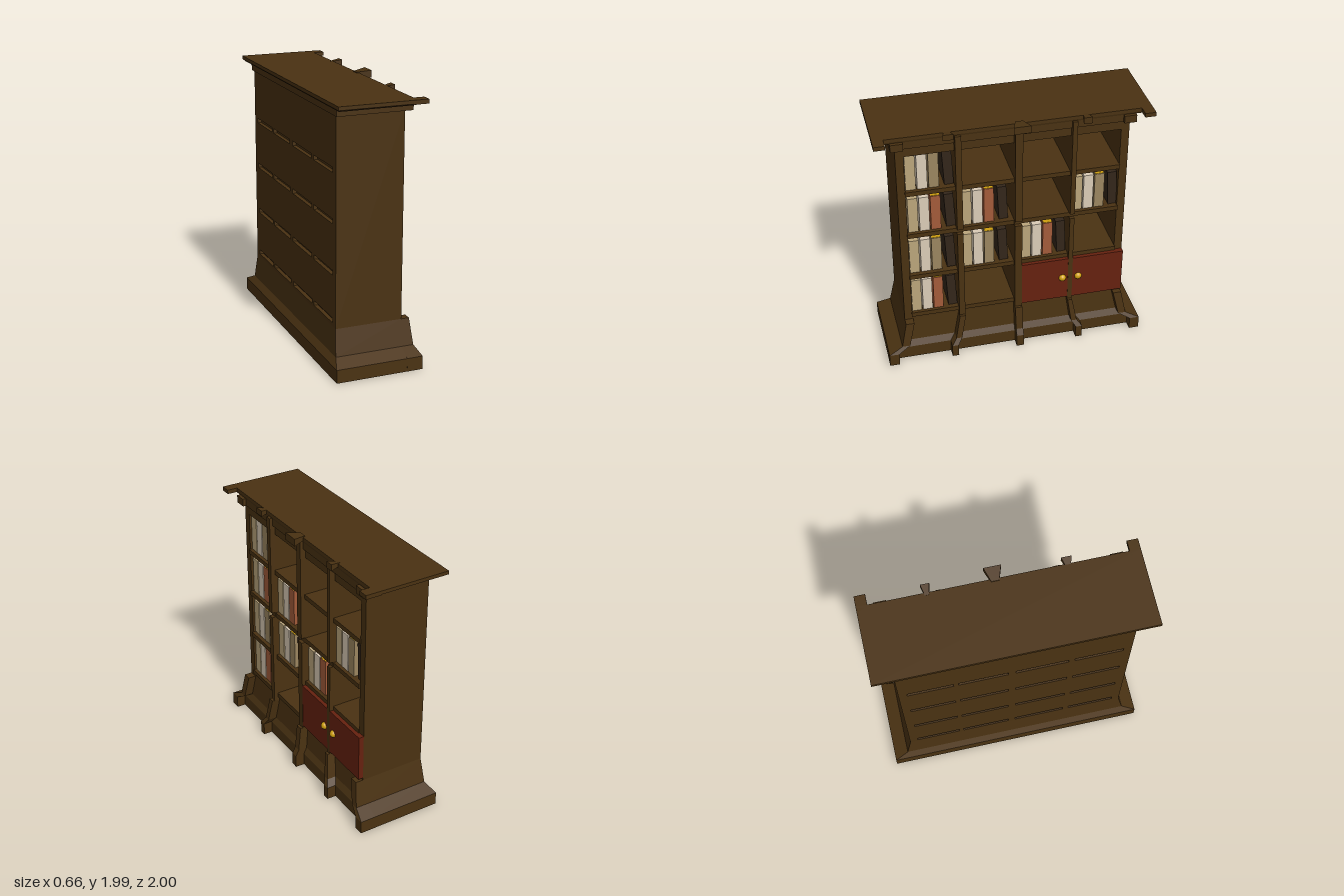
import * as THREE from 'three';

const mat = (color) => new THREE.MeshStandardMaterial({ color, flatShading: true });
const WOOD = mat(0x4a3212), DOOR = mat(0x66210f), GOLD = mat(0xd0a010);
const TAN = mat(0xbca67c), CREAM = mat(0xdccdb8), RUST = mat(0xa45c3a), BROWN = mat(0x9c8660), DARK = mat(0x33261a);

export function createModel() {
  const root = new THREE.Group();

  const add = (name, geo, material, parent = root) => {
    const m = new THREE.Mesh(geo, material);
    m.name = name;
    parent.add(m);
    return m;
  };
  // Box given by its limits on each axis
  const box = (name, material, x0, x1, y0, y1, z0, z1, parent) => {
    const m = add(name, new THREE.BoxGeometry(x1 - x0, y1 - y0, z1 - z0), material, parent);
    m.position.set((x0 + x1) / 2, (y0 + y1) / 2, (z0 + z1) / 2);
    return m;
  };
  // Solid through rectangular sections [y, x0, x1, z0, z1], bottom to top
  const loft = (name, sections) => {
    const pos = [], idx = [];
    sections.forEach(([y, x0, x1, z0, z1], i) => {
      pos.push(x0, y, z0, x0, y, z1, x1, y, z1, x1, y, z0);
      if (i === 0) return;
      for (let j = 0; j < 4; j++) {
        const a = (i - 1) * 4 + j, b = (i - 1) * 4 + (j + 1) % 4;
        idx.push(a, b, b + 4, a, b + 4, a + 4);
      }
    });
    const t = (sections.length - 1) * 4;
    idx.push(0, 2, 1, 0, 3, 2, t, t + 1, t + 2, t, t + 2, t + 3);
    const g = new THREE.BufferGeometry();
    g.setAttribute('position', new THREE.Float32BufferAttribute(pos, 3));
    g.setIndex(idx);
    const flat = g.toNonIndexed();
    flat.computeVertexNormals();
    return add(name, flat, WOOD);
  };

  // Flared plinth
  loft('plinth', [
    [0, -0.34, 0.25, -0.99, 0.99], [0.1, -0.34, 0.25, -0.99, 0.99],
    [0.15, -0.305, 0.225, -0.885, 0.885], [0.345, -0.29, 0.21, -0.845, 0.845],
  ]);
  box('plinthRail', WOOD, -0.26, 0.21, 0.34, 0.40, -0.79, 0.79);

  // Feet: centre z and width at the ground, at the ankle and at the top
  const foot = (g, gw, a, aw, t, tw) => loft('foot', [
    [0, 0.2, 0.32, g - gw / 2, g + gw / 2], [0.1, 0.2, 0.32, g - gw / 2, g + gw / 2],
    [0.15, 0.2, 0.295, a - aw / 2, a + aw / 2], [0.345, 0.18, 0.275, t - tw / 2, t + tw / 2],
  ]);
  for (const s of [1, -1]) foot(s * 0.953, 0.075, s * 0.855, 0.06, s * 0.813, 0.064);
  foot(0.48, 0.05, 0.445, 0.045, 0.408, 0.045);
  foot(-0.03, 0.055, -0.03, 0.055, -0.028, 0.055);
  foot(-0.5, 0.05, -0.465, 0.045, -0.432, 0.035);

  // Side walls
  for (const s of [1, -1]) {
    const [z0, z1] = s > 0 ? [0.785, 0.845] : [-0.845, -0.785];
    box('sideWall', WOOD, -0.29, 0.215, 0.34, 1.88, z0, z1);
  }

  // Bays [z0, z1] and shelf undersides
  const bays = [[0.43, 0.785], [0, 0.385], [-0.415, -0.055], [-0.785, -0.45]];
  const shelfY = [0.37, 0.725, 1.1, 1.465];

  // Back panel with a slot behind each shelf
  const back = new THREE.Shape([
    [-0.785, 0.34], [0.785, 0.34], [0.785, 1.88], [-0.785, 1.88],
  ].map(([x, y]) => new THREE.Vector2(x, y)));
  for (const y of shelfY) for (const [a, b] of bays) {
    back.holes.push(new THREE.Path([
      [a, y], [a, y + 0.036], [b, y + 0.036], [b, y],
    ].map(([u, v]) => new THREE.Vector2(u, v))));
  }
  const backGeo = new THREE.ExtrudeGeometry(back, { depth: 0.03, bevelEnabled: false });
  backGeo.rotateY(-Math.PI / 2);
  add('backPanel', backGeo, WOOD).position.x = -0.26;

  // Shelves and top rail
  for (const y of shelfY) box('shelf', WOOD, -0.26, 0.225, y, y + 0.036, -0.79, 0.79);
  box('topRail', WOOD, -0.26, 0.215, 1.795, 1.88, -0.79, 0.79);

  // Dividers with front strips broken at the third shelf
  for (const [z0, z1] of [[0.385, 0.43], [-0.055, 0], [-0.45, -0.415]]) {
    box('divider', WOOD, -0.26, 0.228, 0.34, 1.88, z0, z1);
    box('lowerStrip', WOOD, 0.2, 0.255, 0.34, 1.1, z0, z1);
    box('upperStrip', WOOD, 0.2, 0.258, 1.14, 1.93, z0, z1);
  }

  // Cornice, top slab and its brackets
  box('cornice', WOOD, -0.3, 0.235, 1.87, 1.928, -0.88, 0.88);
  loft('topSlab', [
    [1.925, -0.32, 0.235, -0.97, 0.97], [1.94, -0.337, 0.24, -1, 1], [1.966, -0.337, 0.24, -1, 1],
  ]);
  for (const s of [1, -1]) {
    const [a, b] = s > 0 ? [0.92, 1] : [-1, -0.92];
    const [c, d] = s > 0 ? [0.79, 0.88] : [-0.88, -0.79];
    box('slabEnd', WOOD, 0.2, 0.32, 1.935, 1.966, a, b);
    box('corniceEnd', WOOD, 0.2, 0.262, 1.87, 1.928, c, d);
  }
  for (const [z, w, x, top] of [[0.482, 0.075, 0.29, 1.975], [-0.033, 0.125, 0.325, 1.986], [-0.51, 0.065, 0.3, 1.98]]) {
    // Bracket widening toward its front end
    const g = new THREE.BoxGeometry(x - 0.22, top - 1.93, w);
    const p = g.attributes.position;
    for (let i = 0; i < p.count; i++) {
      if (p.getX(i) < 0) { p.setZ(i, p.getZ(i) * 0.45); p.setY(i, p.getY(i) * 0.5); }
    }
    g.computeVertexNormals();
    add('bracket', g, WOOD).position.set((x + 0.22) / 2, (top + 1.93) / 2, z);
  }

  // Rows of books: start z, floor y, colour of the third book
  const rows = [
    [0.78, 1.503, BROWN], [0.775, 1.138, RUST], [0.78, 0.768, BROWN], [0.78, 0.405, RUST],
    [0.385, 1.138, RUST], [0.385, 0.762, BROWN], [-0.06, 0.762, RUST], [-0.445, 1.138, BROWN],
  ];
  for (const [z, y, third] of rows) {
    const books = new THREE.Group();
    books.name = 'bookRow';
    root.add(books);
    [TAN, CREAM, third].forEach((m, i) => {
      const zi = z - i * 0.083;
      box('book', m, -0.03, 0.2, y, y + 0.288, zi - 0.073, zi, books);
    });
    box('giltEdge', GOLD, -0.025, 0.195, y + 0.286, y + 0.291, z - 0.234, z - 0.171, books);
    const lean = box('leaningBook', DARK, -0.03, 0.19, y + 0.003, y + 0.283, z - 0.34, z - 0.272, books);
    lean.rotation.x = 0.05;
  }

  // Cupboard doors and knobs
  box('leftDoor', DOOR, 0.2, 0.253, 0.365, 0.728, -0.42, -0.055);
  box('rightDoor', DOOR, 0.2, 0.255, 0.365, 0.728, -0.845, -0.446);
  for (const z of [-0.372, -0.495]) {
    add('knob', new THREE.SphereGeometry(0.029, 16, 12), GOLD).position.set(0.25, 0.555, z);
  }
  return root;
}
